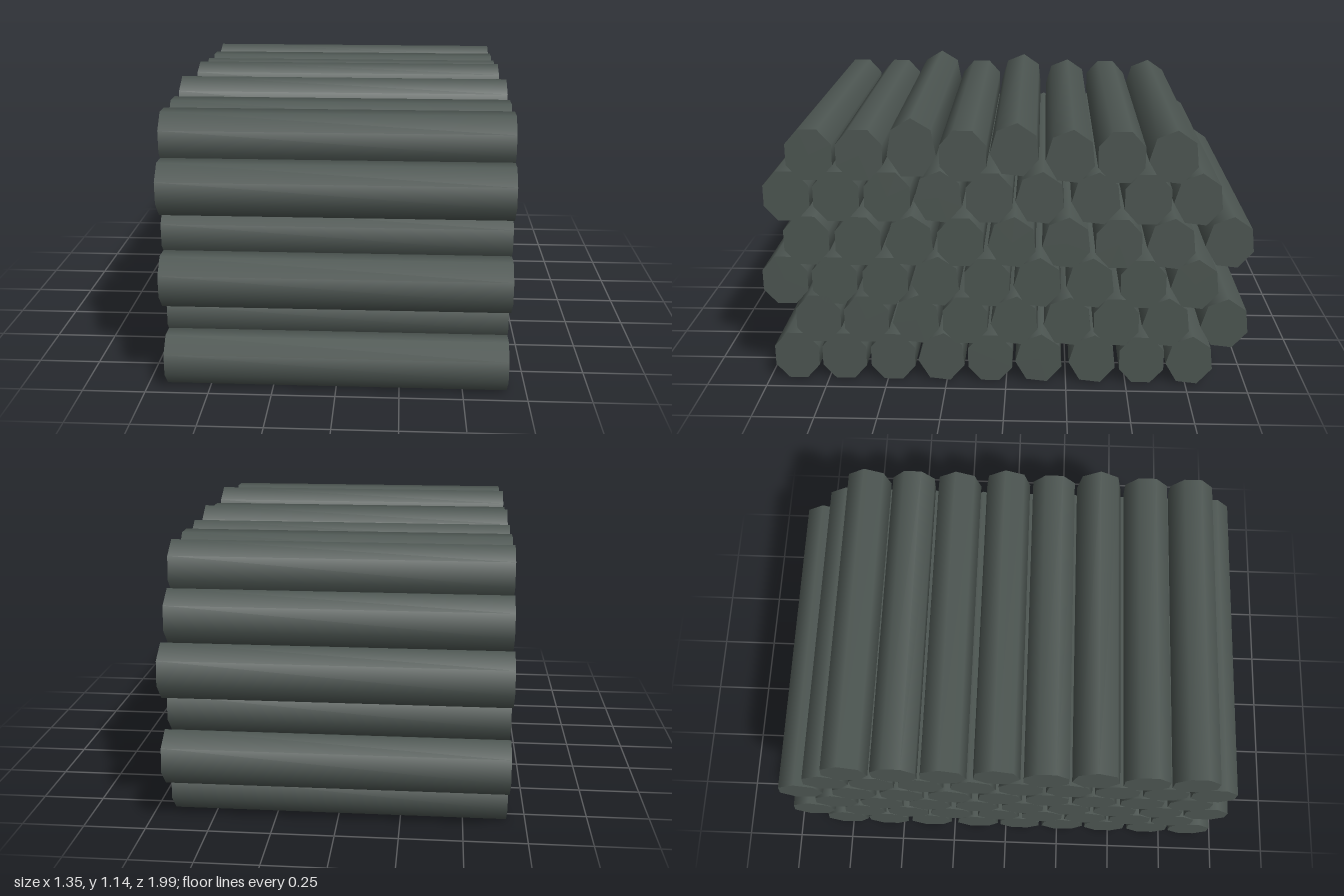
import * as THREE from 'three';

// Stack of pipes lying along x: eight-sided ('O') and seven-sided ('H') cross-sections.
const LENGTH = 1.35;
const RX = 0.1;    // half width across z
const RY = 0.112;  // half height

function pipeGeometry(sides, start, ry) {
  const g = new THREE.CylinderGeometry(1, 1, LENGTH, sides, 1, false, start);
  g.rotateZ(-Math.PI / 2);
  g.scale(1, ry, RX);
  return g;
}

export function createModel() {
  const group = new THREE.Group();
  group.name = 'pipeStack';
  const darkGrey = new THREE.MeshStandardMaterial({ color: 0x4d5652 });
  darkGrey.name = 'darkGrey';

  const shapes = {
    O: pipeGeometry(8, Math.PI / 8, RY),
    H: pipeGeometry(7, -Math.PI / 2 - 0.1, RY),
    T: pipeGeometry(7, -Math.PI / 2, 0.125), // taller pipe in the top layer
  };

  // Layers from the bottom up: height, section of each pipe, z of each pipe
  const wide = [0.88, 0.68, 0.475, 0.27, 0.067, -0.137, -0.36, -0.565, -0.765];
  const offset = [0.78, 0.58, 0.372, 0.17, -0.035, -0.255, -0.455, -0.66, -0.9];
  const layers = [
    { y: 0.112, kinds: 'OOOHOHHOH', z: wide },
    { y: 0.283, kinds: 'OOHOHHOHH', z: offset },
    { y: 0.455, kinds: 'OOOHOHHOH', z: [0.907, 0.704, 0.495, 0.287, 0.078, -0.13, -0.345, -0.56, -0.77] },
    { y: 0.63, kinds: 'OOHOHHOHH', z: [0.81, 0.6, 0.39, 0.185, -0.025, -0.245, -0.455, -0.667, -0.9] },
    { y: 0.82, kinds: 'OOOHOHHOH', z: wide },
    { y: 0.993, kinds: 'OOTOHHOH', z: offset },
  ];
  // Pipes resting a little higher than their layer, by layer and index
  const lift = { '5,2': 0.027, '5,4': 0.025, '3,8': 0.01 };

  layers.forEach(({ y, kinds, z }, row) => {
    const layer = new THREE.Group();
    layer.name = `pipeLayer${row + 1}`;
    [...kinds].forEach((kind, i) => {
      const pipe = new THREE.Mesh(shapes[kind], darkGrey);
      pipe.name = 'pipe';
      pipe.position.set(0, y + (lift[`${row},${i}`] || 0), z[i]);
      layer.add(pipe);
    });
    group.add(layer);
  });

  return group;
}
